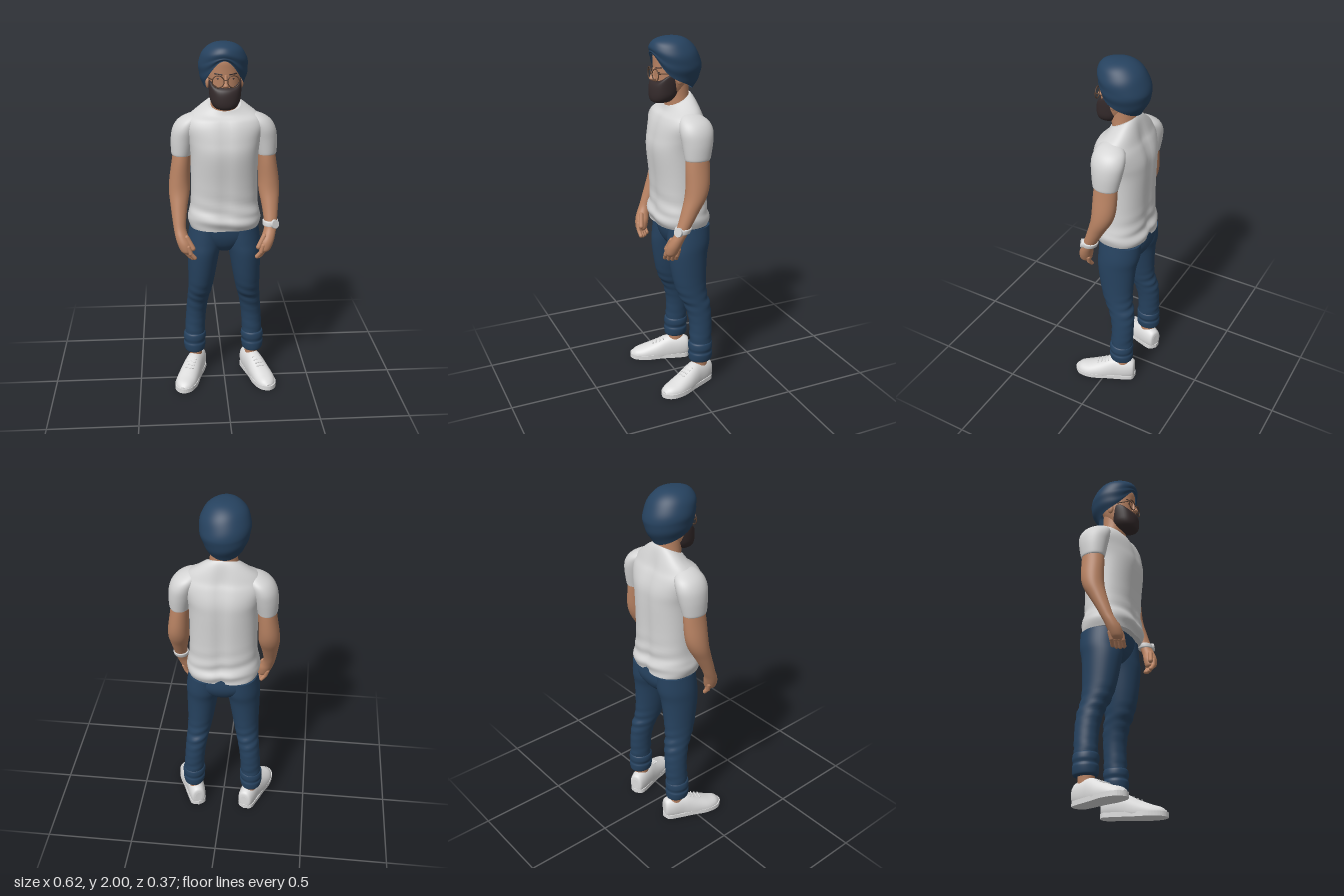
import * as THREE from 'three';

const mat = (name, color, side = THREE.FrontSide) => {
  const m = new THREE.MeshStandardMaterial({ color, side });
  m.name = name;
  return m;
};

// Closed tube surface from point(i, j); i climbs the rows, j goes round
function skinRows(rows, n, point, caps = true) {
  const pos = [], idx = [];
  for (let i = 0; i < rows; i++) for (let j = 0; j < n; j++) pos.push(...point(i, j));
  for (let i = 0; i < rows - 1; i++) for (let j = 0; j < n; j++) {
    const a = i * n + j, c = i * n + (j + 1) % n;
    idx.push(a, a + n, c, a + n, c + n, c);
  }
  if (caps) for (const row of [0, rows - 1]) {
    const start = pos.length / 3, mid = [0, 0, 0];
    for (let j = 0; j < n; j++) {
      const p = point(row, j);
      pos.push(...p);
      p.forEach((v, k) => { mid[k] += v / n; });
    }
    pos.push(...mid);
    for (let j = 0; j < n; j++) {
      const a = start + j, b = start + (j + 1) % n;
      idx.push(start + n, ...(row ? [b, a] : [a, b]));
    }
  }
  const g = new THREE.BufferGeometry();
  g.setAttribute('position', new THREE.Float32BufferAttribute(pos, 3));
  g.setIndex(idx);
  g.computeVertexNormals();
  return g;
}

// Smooth loft through sections [y, x, z, rx, rz], listed upwards
function loft(sections, { e = 2, n = 40, steps = 6, bend = (x, y, z) => [x, y, z] } = {}) {
  const last = sections.length - 1;
  const at = (t) => {
    const i = Math.min(Math.floor(t), last - 1), f = t - i;
    const s = [-1, 0, 1, 2].map((d) => sections[Math.min(last, Math.max(0, i + d))]);
    return s[0].map((_, k) => {
      const [p, q, r, u] = s.map((v) => v[k]);
      return q + 0.5 * f * (r - p + f * (2 * p - 5 * q + 4 * r - u + f * (3 * (q - r) + u - p)));
    });
  };
  const round = (v) => Math.sign(v) * Math.abs(v) ** (2 / e);
  return skinRows(last * steps + 1, n, (i, j) => {
    const [y, x, z, rx, rz] = at(i / steps), a = j / n * Math.PI * 2;
    return bend(x + rx * round(Math.cos(a)), y, z + rz * round(Math.sin(a)));
  });
}

export function createModel() {
  const model = new THREE.Group();
  model.name = 'standingMan';
  const skin = mat('skin', 0xb98363), white = mat('shirtWhite', 0xd4d4d4);
  const navy = mat('navyCloth', 0x26425f, THREE.DoubleSide), hair = mat('beardBrown', 0x352b2c);
  const shoeWhite = mat('shoeWhite', 0xdcdcdc), frame = mat('glassesFrame', 0x5a4030);

  const add = (name, geo, m, parent = model) => {
    const mesh = new THREE.Mesh(geo, m);
    mesh.name = name;
    parent.add(mesh);
    return mesh;
  };
  const ball = (name, m, p, s) => {
    const b = add(name, new THREE.SphereGeometry(1, 20, 14), m);
    b.position.set(...p);
    b.scale.set(...s);
    return b;
  };
  const rod = (name, m, a, b, r, parent = model) => {
    const A = new THREE.Vector3(...a), B = new THREE.Vector3(...b), d = B.clone().sub(A);
    const mesh = add(name, new THREE.CapsuleGeometry(r, d.length(), 5, 12), m, parent);
    mesh.position.copy(A).add(B).multiplyScalar(0.5);
    mesh.quaternion.setFromUnitVectors(new THREE.Vector3(0, 1, 0), d.normalize());
  };

  // T-shirt body with a sloped collar, spine groove and waist folds
  add('shirt', loft([
    [0.975, 0, -0.025, 0.192, 0.15], [1.02, 0, -0.02, 0.205, 0.158], [1.06, 0, -0.017, 0.198, 0.15],
    [1.12, 0, -0.02, 0.188, 0.143], [1.25, 0, -0.017, 0.185, 0.147], [1.4, 0, -0.012, 0.188, 0.157],
    [1.48, 0, -0.016, 0.202, 0.15], [1.55, 0, -0.015, 0.217, 0.13], [1.6, 0, -0.015, 0.195, 0.105],
    [1.64, 0, -0.015, 0.137, 0.083], [1.67, 0, -0.013, 0.09, 0.067],
  ], {
    e: 2.35, n: 64, bend: (x, y, z) => {
      const collar = THREE.MathUtils.smoothstep(y, 1.58, 1.67);
      const mid = Math.exp(-((x / 0.035) ** 2)) * (1 - collar);
      const fold = 0.004 * Math.sin(y * 75 + x * 14) * (1 - THREE.MathUtils.smoothstep(y, 1.02, 1.25));
      return [x, y - collar * 0.5 * (z + 0.013), z + (z < 0 ? 0.012 : -0.006) * mid + fold * Math.sign(z)];
    },
  }), white);

  // Neck and head
  add('neck', loft([
    [1.58, 0, -0.02, 0.085, 0.07], [1.65, 0, -0.012, 0.077, 0.067],
    [1.7, 0, -0.008, 0.072, 0.068], [1.77, 0, -0.005, 0.07, 0.07],
  ]), skin);
  add('head', loft([
    [1.67, 0, 0.06, 0.035, 0.045], [1.7, 0, 0.045, 0.065, 0.07], [1.75, 0, 0.028, 0.081, 0.086],
    [1.8, 0, 0.018, 0.087, 0.098], [1.86, 0, 0.01, 0.09, 0.108], [1.92, 0, 0.01, 0.083, 0.105],
    [1.96, 0, 0.01, 0.05, 0.06],
  ], { e: 2.2 }), skin);
  add('nose', loft([
    [1.772, 0, 0.115, 0.01, 0.012], [1.783, 0, 0.12, 0.018, 0.026], [1.8, 0, 0.115, 0.012, 0.025],
    [1.84, 0, 0.108, 0.008, 0.015],
  ], { n: 16 }), skin);

  // Beard rising into sideburns
  add('beard', loft([
    [1.655, 0, 0.085, 0.03, 0.03], [1.665, 0, 0.08, 0.056, 0.054], [1.69, 0, 0.07, 0.075, 0.072],
    [1.73, 0, 0.06, 0.085, 0.082], [1.757, 0, 0.056, 0.087, 0.079], [1.772, 0, 0.05, 0.08, 0.07],
  ], {
    e: 2.2, bend: (x, y, z) => {
      const lift = Math.max(0, (y - 1.71) / 0.06);
      return [x, y + lift * 0.045 * (x / 0.085) ** 4, z];
    },
  }), hair);

  // Turban: lower edge peaks over the forehead and drops to the nape
  add('turban', skinRows(41, 64, (i, j) => {
    const t = i / 40, a = j / 64 * Math.PI * 2, f = Math.sin(a), front = Math.max(0, f) ** 4;
    const low = 1.767 + 0.05 * f + 0.095 * front, mid = 1.872 + 0.03 * f + 0.03 * front;
    const r0 = 0.8 + 0.15 * f;
    let r, y, shift = 0;
    if (t < 0.4) {
      r = r0 + (1 - r0) * Math.sin(t / 0.4 * Math.PI / 2);
      y = low + (mid - low) * t / 0.4;
    } else {
      const phi = (t - 0.4) / 0.6 * Math.PI / 2;
      r = Math.max(0, Math.cos(phi)) ** 0.8;
      y = mid + (2 - mid) * Math.sin(phi);
      shift = 0.02 * Math.sin(phi);
    }
    r *= 1 + 0.014 * Math.sin(t * 24 + 3 * f + 2 * Math.cos(a)) * (1 - t);
    return [-0.007 + 0.132 * r * Math.cos(a), y, -0.007 + shift + 0.141 * r * f];
  }, false), navy);

  // Seat of the trousers
  add('trouserSeat', loft([
    [0.83, 0, -0.035, 0.05, 0.07], [0.87, 0, -0.04, 0.13, 0.105], [0.93, 0, -0.042, 0.19, 0.126],
    [1.02, 0, -0.035, 0.185, 0.125],
  ], { e: 2.3 }), navy);

  for (const s of [1, -1]) {
    const side = s > 0 ? 'left' : 'right';
    const out = (list) => list.map(([y, x, ...rest]) => [y, x * s, ...rest]);

    // Sleeve, arm and hand
    add(side + 'Sleeve', loft(out([
      [1.385, 0.234, -0.027, 0.053, 0.069], [1.4, 0.234, -0.027, 0.057, 0.073], [1.47, 0.225, -0.03, 0.067, 0.085],
      [1.53, 0.212, -0.03, 0.07, 0.092], [1.575, 0.19, -0.028, 0.065, 0.083], [1.605, 0.165, -0.022, 0.045, 0.055],
      [1.62, 0.15, -0.02, 0.015, 0.02],
    ])), white);
    add(side + 'Arm', loft(out([
      [0.855, 0.212, 0.115, 0.02, 0.023], [0.87, 0.217, 0.115, 0.033, 0.033], [0.91, 0.228, 0.107, 0.04, 0.038],
      [0.95, 0.243, 0.093, 0.036, 0.036], [0.99, 0.252, 0.074, 0.034, 0.035], [1.04, 0.254, 0.053, 0.039, 0.039],
      [1.11, 0.253, 0.022, 0.048, 0.048], [1.18, 0.25, -0.008, 0.058, 0.059], [1.25, 0.247, -0.022, 0.057, 0.066],
      [1.35, 0.237, -0.026, 0.052, 0.067], [1.45, 0.225, -0.03, 0.05, 0.06],
    ])), skin);
    for (let k = 0; k < 4; k++) {
      const x = 0.243 - k * 0.012, z = 0.085 + k * 0.017, tip = 0.832 - 0.008 * Math.sin(k);
      rod(side + 'Finger', skin, [s * x, 0.895, z], [s * (x - 0.012), 0.858, z + 0.004], 0.0125);
      rod(side + 'Fingertip', skin, [s * (x - 0.012), 0.858, z + 0.004], [s * (x - 0.034), tip, z], 0.0115);
    }
    rod(side + 'Thumb', skin, [s * 0.215, 0.945, 0.115], [s * 0.182, 0.885, 0.13], 0.014);

    // Trouser leg with knee creases and a rolled cuff
    add(side + 'TrouserLeg', loft(out([
      [0.18, 0.172, -0.088, 0.056, 0.062], [0.28, 0.171, -0.088, 0.059, 0.064], [0.4, 0.163, -0.088, 0.059, 0.067],
      [0.5, 0.151, -0.073, 0.063, 0.076], [0.56, 0.141, -0.05, 0.068, 0.084], [0.65, 0.131, -0.034, 0.076, 0.097],
      [0.8, 0.119, -0.027, 0.09, 0.114], [0.88, 0.108, -0.036, 0.1, 0.122], [0.97, 0.1, -0.04, 0.095, 0.122],
    ]), {
      bend: (x, y, z) => {
        const knee = Math.exp(-(((y - 0.52) / 0.1) ** 2)) + Math.exp(-(((y - 0.3) / 0.05) ** 2));
        return [x, y, z + 0.004 * knee * Math.sin(y * 110 + x * 30)];
      },
    }), navy);
    add(side + 'Cuff', loft(out([
      [0.148, 0.174, -0.086, 0.05, 0.058], [0.158, 0.174, -0.086, 0.06, 0.068], [0.195, 0.174, -0.086, 0.066, 0.071],
      [0.212, 0.174, -0.086, 0.061, 0.067], [0.235, 0.173, -0.086, 0.067, 0.071], [0.262, 0.172, -0.086, 0.064, 0.069],
      [0.27, 0.172, -0.086, 0.055, 0.06],
    ])), navy);
    add(side + 'Ankle', loft(out([
      [0.06, 0.167, -0.085, 0.04, 0.046], [0.12, 0.168, -0.085, 0.037, 0.046], [0.18, 0.17, -0.085, 0.04, 0.046],
    ])), skin);

    // Shoe lofted heel to toe, then turned outward
    const shoe = new THREE.Group();
    shoe.name = side + 'Shoe';
    shoe.position.set(s * 0.165, 0, -0.085);
    shoe.rotation.y = s * 0.33;
    model.add(shoe);
    const upper = loft(out([
      [-0.078, 0, -0.06, 0.02, 0.035], [-0.07, 0, -0.06, 0.04, 0.06], [-0.03, 0, -0.06, 0.05, 0.074],
      [0.03, 0, -0.055, 0.053, 0.081], [0.07, 0.002, -0.045, 0.056, 0.083], [0.13, 0.004, -0.03, 0.061, 0.069],
      [0.2, 0.004, -0.02, 0.061, 0.051], [0.25, 0, -0.018, 0.046, 0.037], [0.277, -0.003, -0.016, 0.02, 0.018],
    ]), { e: 2.2, bend: (x, y, z) => [x, y, Math.min(z, -0.01)] });
    add(side + 'ShoeUpper', upper.rotateX(Math.PI / 2), shoeWhite, shoe);
    const outline = new THREE.Shape(new THREE.SplineCurve([
      [0, -0.084], [0.042, -0.064], [0.053, 0], [0.06, 0.09], [0.069, 0.18], [0.05, 0.255], [0, 0.286],
      [-0.046, 0.255], [-0.062, 0.18], [-0.053, 0.09], [-0.051, 0], [-0.042, -0.064], [0, -0.084],
    ].map(([x, z]) => new THREE.Vector2(x * s, -z))).getPoints(60));
    const sole = new THREE.ExtrudeGeometry(outline, { depth: 0.026, bevelEnabled: false });
    add(side + 'Sole', sole.rotateX(-Math.PI / 2), shoeWhite, shoe);
    for (let k = 0; k < 4; k++) {
      const z = 0.08 + k * 0.022, y = 0.125 - k * 0.009;
      rod(side + 'Lace', shoeWhite, [-0.02, y - 0.006, z], [0.024, y - 0.006, z], 0.004, shoe);
    }

    // Eyes, brows, ears and glasses
    ball(side + 'Eye', hair, [s * 0.036, 1.82, 0.106], [0.011, 0.005, 0.004]);
    rod(side + 'Brow', hair, [s * 0.02, 1.842, 0.114], [s * 0.055, 1.846, 0.1], 0.004);
    ball(side + 'Ear', skin, [s * 0.09, 1.785, 0.01], [0.012, 0.03, 0.018]);
    const rim = add(side + 'GlassesRim', new THREE.TorusGeometry(0.031, 0.0028, 8, 32), frame);
    rim.position.set(s * 0.04, 1.808, 0.128);
    rim.rotation.y = s * 0.15;
    rod(side + 'GlassesArm', frame, [s * 0.071, 1.818, 0.122], [s * 0.096, 1.815, 0.01], 0.0028);
  }
  rod('glassesBridge', frame, [-0.01, 1.815, 0.135], [0.01, 1.815, 0.135], 0.0028);

  // Wristwatch on the left arm
  add('watchBand', loft([
    [0.993, 0.252, 0.069, 0.036, 0.037], [0.996, 0.252, 0.069, 0.042, 0.043],
    [1.018, 0.253, 0.063, 0.044, 0.045], [1.022, 0.253, 0.062, 0.038, 0.039],
  ]), white);
  const dial = add('watchCase', new THREE.CylinderGeometry(0.024, 0.026, 0.014, 24), white);
  dial.position.set(0.275, 1.008, 0.103);
  dial.quaternion.setFromUnitVectors(new THREE.Vector3(0, 1, 0), new THREE.Vector3(0.52, 0.2, 0.83).normalize());

  return model;
}
